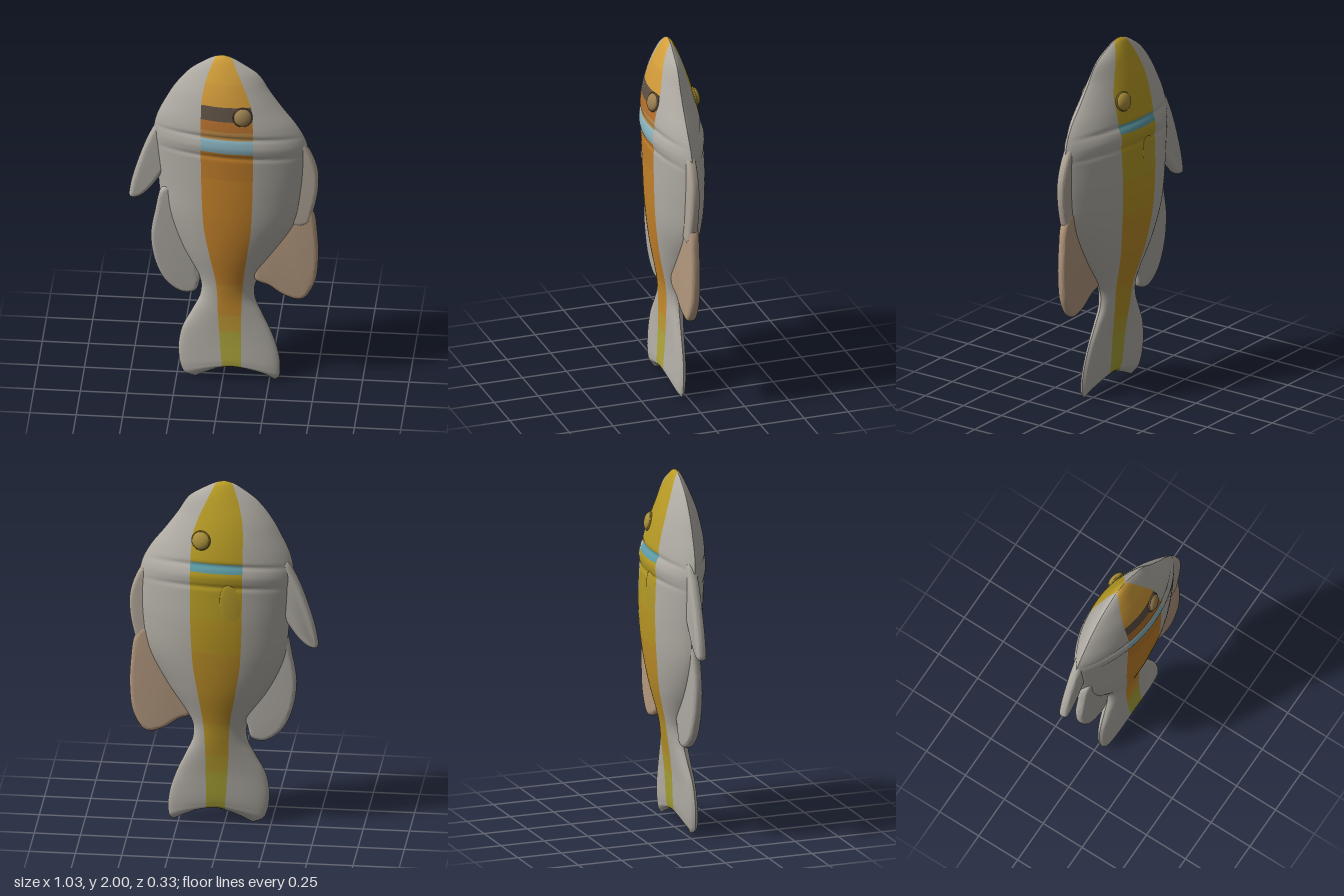
import * as THREE from 'three';
import { toCreasedNormals } from 'three/addons/utils/BufferGeometryUtils.js';

const SKIN = 0xb3afa7;

// Body stations: y, right edge x, left edge x, back z, front z
const STATIONS = [
  [0, -0.15, 0.28, 0.033, 0.033], [0.02, -0.2, 0.302, 0.004, 0.066],
  [0.06, -0.225, 0.308, -0.006, 0.073], [0.12, -0.238, 0.306, -0.012, 0.071],
  [0.2, -0.24, 0.29, -0.016, 0.066], [0.3, -0.22, 0.255, -0.022, 0.061],
  [0.4, -0.17, 0.21, -0.035, 0.059], [0.5, -0.125, 0.17, -0.052, 0.062],
  [0.6, -0.13, 0.18, -0.07, 0.075], [0.8, -0.25, 0.31, -0.12, 0.112],
  [1, -0.33, 0.42, -0.148, 0.138], [1.2, -0.355, 0.455, -0.16, 0.15],
  [1.4, -0.375, 0.462, -0.156, 0.155], [1.5, -0.38, 0.45, -0.152, 0.157],
  [1.6, -0.36, 0.4, -0.138, 0.153], [1.7, -0.315, 0.325, -0.118, 0.135],
  [1.8, -0.26, 0.255, -0.09, 0.108], [1.9, -0.18, 0.19, -0.052, 0.07],
  [1.96, -0.1, 0.1, -0.026, 0.042], [1.99, -0.045, 0.04, -0.008, 0.022],
  [2, 0, 0, 0.008, 0.008],
];
// Stripe stations: y, right edge x, left edge x
const STRIPE = [
  [0, 0, 0.1], [0.4, -0.025, 0.1], [0.6, -0.035, 0.11], [0.8, -0.07, 0.135],
  [1, -0.1, 0.16], [1.4, -0.112, 0.172], [1.7, -0.112, 0.165],
  [1.8, -0.105, 0.135], [1.9, -0.08, 0.09], [2, -0.04, 0.04],
];

// Smooth lookup of column c at height y
function lookup(table, y, c) {
  const n = table.length - 1;
  let i = 0;
  while (i < n - 1 && y > table[i + 1][0]) i++;
  const slope = (k) => {
    const a = table[Math.max(k - 1, 0)], b = table[Math.min(k + 1, n)];
    return (b[c] - a[c]) / (b[0] - a[0]);
  };
  const h = table[i + 1][0] - table[i][0];
  const t = (y - table[i][0]) / h, t2 = t * t, t3 = t2 * t;
  return (2 * t3 - 3 * t2 + 1) * table[i][c] + (t3 - 2 * t2 + t) * h * slope(i)
    + (3 * t2 - 2 * t3) * table[i + 1][c] + (t3 - t2) * h * slope(i + 1);
}

const clamp = THREE.MathUtils.clamp;
const bell = (d, w) => Math.exp(-((d / w) ** 2));

// Point on the body skin: u runs across (-1..1), side is +1 front or -1 back
function skin(u, y, side) {
  const xr = lookup(STATIONS, y, 1), xl = lookup(STATIONS, y, 2);
  const zb = lookup(STATIONS, y, 3), zf = lookup(STATIONS, y, 4);
  const half = (xl - xr) / 2, x = (xl + xr) / 2 + u * half;
  // Lens-shaped trunk that becomes a flat tail
  const power = THREE.MathUtils.lerp(0.35, 0.8, THREE.MathUtils.smoothstep(y, 0.3, 0.8));
  // Gill-cover creases dip towards the edges
  const yg = y + 0.03 * u * u;
  const gill = 0.007 * bell(yg - 1.5, 0.035) - 0.008 * bell(yg - 1.56, 0.014) - 0.006 * bell(yg - 1.44, 0.014);
  const depth = ((zf - zb) / 2 + gill) * Math.max(1 - u * u, 0) ** power;
  const tilt = 0.08 * (x - (xl + xr) / 2) * THREE.MathUtils.smoothstep(y, 0.2, 1);
  // Forked tail edge
  const fork = 0.075 * (1 - Math.abs(u) ** 1.5) * Math.max(1 - y / 0.35, 0) ** 2;
  return new THREE.Vector3(x, y + fork, (zf + zb) / 2 + tilt + side * depth);
}

// Skin patch between two heights and two u-edge functions
function skinPatch(name, yTop, yBottom, uFrom, uTo, side, color) {
  const rows = Math.round((yTop - yBottom) / 0.01), cols = 14;
  const pos = [], nor = [], idx = [];
  for (let r = 0; r <= rows; r++) {
    const y = yTop + (yBottom - yTop) * r / rows;
    const a = Math.asin(uFrom(y)), b = Math.asin(uTo(y));
    for (let c = 0; c <= cols; c++) {
      const u = Math.sin(a + (b - a) * c / cols);
      pos.push(...skin(u, y, side).toArray());
      const un = clamp(u, -0.98, 0.98), yn = clamp(y, 0.008, 1.992);
      const du = skin(un + 0.01, yn, side).sub(skin(un - 0.01, yn, side));
      const dy = skin(un, yn + 0.004, side).sub(skin(un, yn - 0.004, side));
      nor.push(...du.cross(dy).normalize().multiplyScalar(side).toArray());
      if (r < rows && c < cols) {
        const p = r * (cols + 1) + c, q = p + cols + 1;
        if (side > 0) idx.push(p, q, p + 1, p + 1, q, q + 1);
        else idx.push(p, p + 1, q, p + 1, q + 1, q);
      }
    }
  }
  const geo = new THREE.BufferGeometry();
  geo.setAttribute('position', new THREE.Float32BufferAttribute(pos, 3));
  geo.setAttribute('normal', new THREE.Float32BufferAttribute(nor, 3));
  geo.setIndex(idx);
  return part(name, geo, color);
}

function part(name, geometry, color) {
  const mesh = new THREE.Mesh(geometry, new THREE.MeshStandardMaterial({ color }));
  mesh.name = name;
  return mesh;
}

// Rounded flat fin from a smooth closed outline
function fin(name, points, z, color) {
  const curve = new THREE.CatmullRomCurve3(points.map(([x, y]) => new THREE.Vector3(x, y, 0)), true);
  const shape = new THREE.Shape(curve.getPoints(70).slice(0, -1).map((p) => new THREE.Vector2(p.x, p.y)));
  const geo = new THREE.ExtrudeGeometry(shape, {
    depth: 0.012, bevelThickness: 0.021, bevelSize: 0.024, bevelOffset: -0.024, bevelSegments: 5,
  });
  geo.translate(0, 0, z - 0.006);
  return part(name, toCreasedNormals(geo, 0.9), color);
}

export function createModel() {
  const fish = new THREE.Group();
  fish.name = 'fish';

  const stripeEdge = (c) => (y) => {
    const xr = lookup(STATIONS, y, 1), xl = lookup(STATIONS, y, 2);
    return clamp((2 * lookup(STRIPE, y, c) - xl - xr) / Math.max(xl - xr, 1e-4), -0.9, 0.9);
  };
  const right = stripeEdge(1), left = stripeEdge(2);

  // Flanks and tail
  for (const side of [1, -1]) {
    const face = side > 0 ? 'front' : 'back';
    fish.add(skinPatch(face + 'RightFlank', 2, 0, () => -1, right, side, SKIN));
    fish.add(skinPatch(face + 'LeftFlank', 2, 0, left, () => 1, side, SKIN));
  }

  // Coloured stripe bands from the snout down: name, bottom height, colour
  const frontBands = [
    ['Snout', 1.86, 0xd4a03a], ['Brow', 1.74, 0xd29a3a], ['EyeBand', 1.66, 0x5e5044],
    ['Cheek', 1.6, 0xb4702e], ['GillEdge', 1.55, 0xb88848], ['BlueBand', 1.47, 0x88b2be],
    ['Chest', 1.3, 0xbe7c2a], ['Trunk', 0.6, 0xc4822a], ['TailRoot', 0.4, 0xc68c2e],
    ['TailBase', 0.3, 0xbe9834], ['Tail', 0, 0xaea63c],
  ];
  const backBands = [
    ['Head', 1.57, 0xb89c26], ['BlueBand', 1.52, 0x5e9ca6], ['Shoulder', 1.25, 0xb49a24],
    ['Middle', 1.05, 0xb89624], ['Trunk', 0.6, 0xbc8e28], ['TailRoot', 0.4, 0xb8942a],
    ['TailBase', 0.3, 0xb29c30], ['Tail', 0, 0xa8a236],
  ];
  for (const [face, side, bands] of [['front', 1, frontBands], ['back', -1, backBands]]) {
    let top = 2;
    for (const [name, bottom, color] of bands) {
      fish.add(skinPatch(face + 'Stripe' + name, top, bottom, right, left, side, color));
      top = bottom;
    }
  }

  // Eyes with a thin rim
  for (const side of [1, -1]) {
    const eye = new THREE.Group();
    eye.name = side > 0 ? 'frontEye' : 'backEye';
    const ball = part('eyeball', new THREE.SphereGeometry(0.05, 24, 16), side > 0 ? 0x9c8050 : 0xa88e3a);
    ball.scale.z = 0.5;
    const rim = part('eyeRim', new THREE.TorusGeometry(0.048, 0.006, 8, 32), side > 0 ? 0x5e5040 : 0x8a742c);
    eye.add(ball, rim);
    eye.position.copy(skin(0.3, 1.69, side));
    eye.position.x = 0.115;
    eye.rotation.set(-side * 0.25, side * 0.2, 0);
    fish.add(eye);
  }

  // Side fin lying against the back face
  const sideFin = part('sideFin', new THREE.SphereGeometry(1, 24, 16), 0xb49a2c);
  sideFin.scale.set(0.065, 0.14, 0.012);
  sideFin.position.set(-0.06, 1.32, -0.15);
  sideFin.rotation.set(0, 0.12, -0.2);
  fish.add(sideFin);

  // Edge fins
  fish.add(fin('bellyFin', [[-0.34, 1.57], [-0.39, 1.49], [-0.45, 1.34], [-0.505, 1.14], [-0.507, 1.07],
    [-0.465, 1.07], [-0.41, 1.115], [-0.35, 1.2], [-0.3, 1.3], [-0.29, 1.5]], -0.036, SKIN));
  fish.add(fin('rearBellyFin', [[-0.28, 1.17], [-0.335, 1.14], [-0.37, 1.0], [-0.392, 0.85], [-0.37, 0.69],
    [-0.31, 0.565], [-0.22, 0.502], [-0.15, 0.515], [-0.125, 0.59], [-0.1, 0.68], [-0.18, 0.92]], -0.012, 0xaeaaa3));
  fish.add(fin('upperBackFin', [[0.4, 1.53], [0.465, 1.45], [0.51, 1.33], [0.514, 1.21], [0.488, 1.07],
    [0.46, 0.99], [0.38, 0.98], [0.34, 1.15], [0.36, 1.4]], 0.034, 0xb2a79a));
  fish.add(fin('lowerBackFin', [[0.44, 1.12], [0.488, 1.06], [0.508, 0.93], [0.514, 0.76], [0.492, 0.61],
    [0.425, 0.515], [0.33, 0.535], [0.25, 0.59], [0.175, 0.625], [0.17, 0.72], [0.27, 0.92], [0.36, 1.08]], 0.03, 0xb59a80));

  return fish;
}
